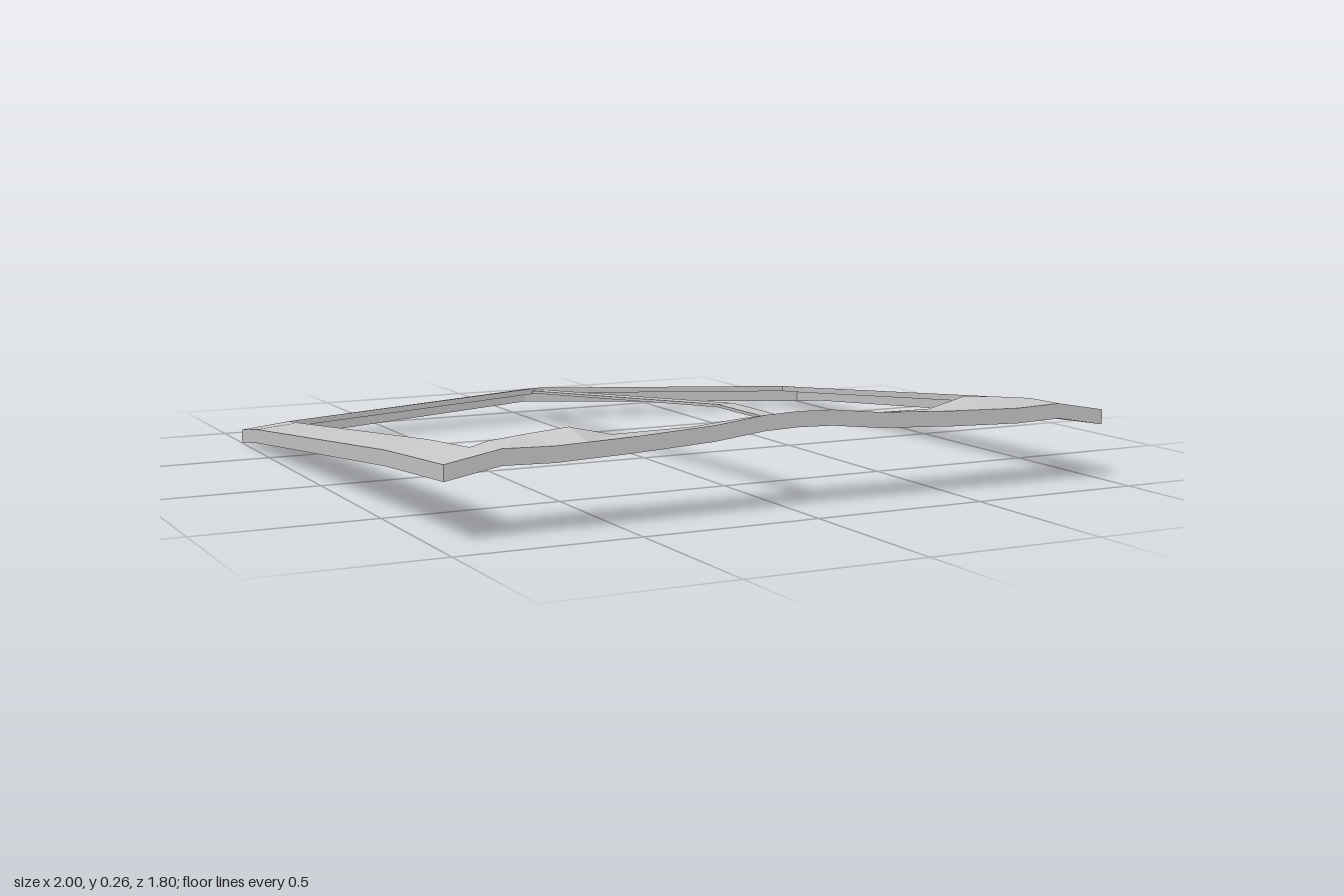
import * as THREE from 'three';

const material = new THREE.MeshStandardMaterial({ color: 0xcccccc, flatShading: true, side: THREE.DoubleSide });
const OUTER_DEPTH = 0.042, INNER_DEPTH = 0.018;

// Half of the frame, from front centre round to back centre: [outer edge, inner edge]
const half = [
  [[0, 0.265, 0.9], [0, 0.24, 0.78]],
  [[0.1, 0.262, 0.9], [0.1, 0.237, 0.78]],
  [[0.25, 0.245, 0.9], [0.25, 0.225, 0.78]],
  [[0.48, 0.233, 0.9], [0.48, 0.222, 0.78]],
  [[0.6, 0.229, 0.9], [0.6, 0.25, 0.78]],
  [[0.69, 0.226, 0.9], [0.72, 0.24, 0.78]],
  [[0.83, 0.23, 0.9], [0.82, 0.23, 0.78]],
  [[0.98, 0.203, 0.9], [0.865, 0.218, 0.78]],
  [[0.985, 0.177, 0.5], [0.868, 0.196, 0.5]],
  [[0.997, 0.066, -0.64], [0.879, 0.084, -0.6]],
  [[1, 0.043, -0.795], [0.88, 0.076, -0.69]],
  [[0, 0.094, -0.9], [0, 0.113, -0.785]],
];

// Closed band of quads between two loops
function band(name, a, b) {
  const pos = [];
  a.forEach((p, i) => {
    const j = (i + 1) % a.length;
    for (const v of [p, a[j], b[j], p, b[j], b[i]]) pos.push(...v);
  });
  const geo = new THREE.BufferGeometry();
  geo.setAttribute('position', new THREE.Float32BufferAttribute(pos, 3));
  geo.computeVertexNormals();
  const mesh = new THREE.Mesh(geo, material);
  mesh.name = name;
  return mesh;
}

const lower = (loop, d) => loop.map(([x, y, z]) => [x, y - d, z]);

export function createModel() {
  const model = new THREE.Group();
  model.name = 'windowFrame';

  // Mirror the half into a full loop
  const mirrored = half.slice(1, -1).reverse().map(pair => pair.map(([x, y, z]) => [-x, y, z]));
  const ring = [...half, ...mirrored];
  const outer = ring.map(p => p[0]);
  const inner = ring.map(p => p[1]);

  // Sloping top plate with hanging rims, open underneath
  model.add(
    band('topPlate', outer, inner),
    band('outerRim', lower(outer, OUTER_DEPTH), outer),
    band('innerRim', inner, lower(inner, INNER_DEPTH)),
  );

  // Thin centre bar, bent near the front
  const path = [[0.79, 0.233], [0.5, 0.231], [-0.79, 0.104]];
  const underside = path.map(([z, y]) => [z, y - 0.008]).reverse();
  const shape = new THREE.Shape([...path, ...underside].map(p => new THREE.Vector2(...p)));
  const barGeo = new THREE.ExtrudeGeometry(shape, { depth: 0.05, bevelEnabled: false });
  barGeo.rotateY(-Math.PI / 2).translate(0.025, 0, 0);
  const bar = new THREE.Mesh(barGeo, material);
  bar.name = 'centreBar';
  model.add(bar);

  return model;
}
